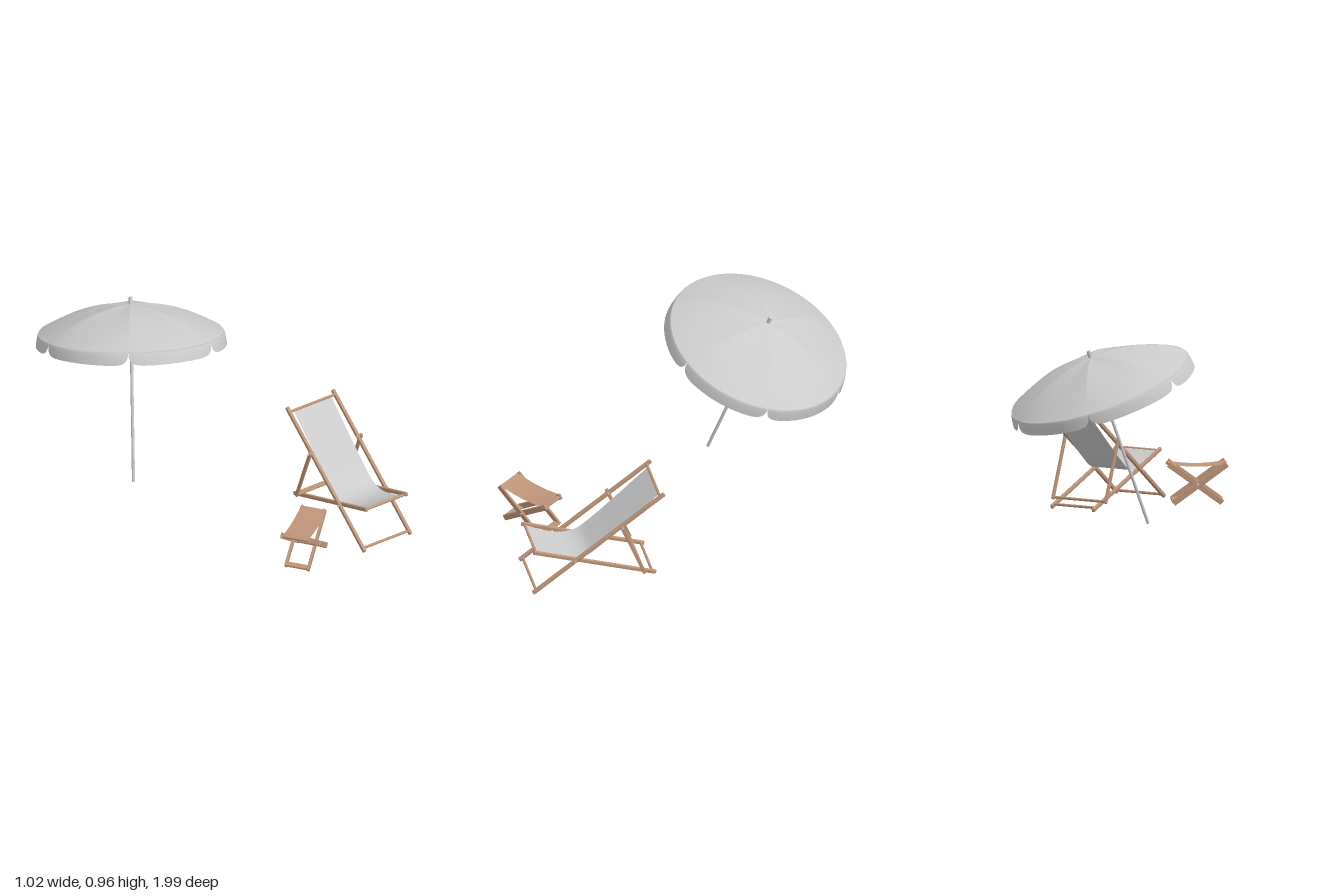
import * as THREE from 'three';
import { RoundedBoxGeometry } from 'three/addons/geometries/RoundedBoxGeometry.js';
import { ParametricGeometry } from 'three/addons/geometries/ParametricGeometry.js';

const UP = new THREE.Vector3(0, 1, 0);
const wood = new THREE.MeshStandardMaterial({ color: 0xbf9578 });
const brownCloth = new THREE.MeshStandardMaterial({ color: 0xbf9578, side: THREE.DoubleSide });
const grey = new THREE.MeshStandardMaterial({ color: 0xcccccc });
const greyCloth = new THREE.MeshStandardMaterial({ color: 0xcccccc, side: THREE.DoubleSide });

function add(parent, name, geometry, material) {
  const mesh = new THREE.Mesh(geometry, material);
  mesh.name = name;
  parent.add(mesh);
  return mesh;
}

// Place a y-aligned mesh between two points
function span(mesh, a, b) {
  mesh.position.addVectors(a, b).multiplyScalar(0.5);
  mesh.quaternion.setFromUnitVectors(UP, b.clone().sub(a).normalize());
}

function beam(parent, name, a, b, width, depth) {
  const p = new THREE.Vector3(...a), q = new THREE.Vector3(...b);
  const r = Math.min(width, depth) * 0.25;
  span(add(parent, name, new RoundedBoxGeometry(width, p.distanceTo(q), depth, 2, r), wood), p, q);
}

function rod(parent, name, a, b, radius, material) {
  const p = new THREE.Vector3(...a), q = new THREE.Vector3(...b);
  span(add(parent, name, new THREE.CylinderGeometry(radius, radius, p.distanceTo(q), 12), material), p, q);
}

function parasol() {
  const g = new THREE.Group();
  g.name = 'parasol';
  const PANELS = 6, STEP = Math.PI * 2 / PANELS, START = 0.41, R = 0.465;
  const dome = r => 0.92 - 0.145 * Math.pow(r / R, 1.9);
  const at = (a, r, h) => [r * Math.cos(a), h, r * Math.sin(a)];

  rod(g, 'pole', [0, 0, 0], [0, 0.93, 0], 0.008, grey);
  rod(g, 'poleTip', [0, 0.91, 0], [0, 0.955, 0], 0.01, grey);
  rod(g, 'slidingCollar', [0, 0.69, 0], [0, 0.715, 0], 0.012, grey);

  for (let i = 0; i < PANELS; i++) {
    const a0 = START + i * STEP;
    // s runs across a panel, packed tighter near the seams
    const across = s => (1 - Math.cos(Math.PI * s)) / 2;
    add(g, 'canopyPanel', new ParametricGeometry((s, t, v) => {
      const p = across(s), r = 0.006 + t * (R - 0.006);
      const sag = 0.009 * Math.sin(Math.PI * p) * Math.sin(Math.PI * t);
      v.set(...at(a0 + p * STEP, r, dome(r) - sag));
    }, 20, 16), greyCloth);
    // Hanging flap with rounded lower corners
    add(g, 'valance', new ParametricGeometry((s, t, v) => {
      const p = across(s), e = Math.abs(2 * p - 1);
      const drop = t * 0.067 * Math.pow(Math.max(0, 1 - Math.pow(e, 10)), 0.45);
      v.set(...at(a0 + p * STEP, R + 0.016 * Math.sqrt(drop / 0.067), dome(R) - drop));
    }, 24, 8), greyCloth);
    // Rib under the seam and its strut
    const pts = [0.01, 0.12, 0.24, 0.36, R - 0.003].map(r => new THREE.Vector3(...at(a0, r, dome(r) - 0.005)));
    add(g, 'rib', new THREE.TubeGeometry(new THREE.CatmullRomCurve3(pts), 16, 0.0025, 6), grey);
    rod(g, 'strut', at(a0, 0.01, 0.705), at(a0, 0.24, dome(0.24) - 0.006), 0.0025, grey);
  }
  g.position.set(-0.24, 0.05, -0.355);
  g.quaternion.setFromUnitVectors(UP, new THREE.Vector3(0.264, 0.937, -0.227).normalize());
  return g;
}

function deckChair() {
  const g = new THREE.Group();
  g.name = 'deckChair';
  for (const s of [-1, 1]) {
    beam(g, 'backRail', [s * 0.141, 0.506, -0.34], [s * 0.141, 0.004, 0.342], 0.017, 0.02);
    beam(g, 'seatRail', [s * 0.123, 0.246, 0.335], [s * 0.123, 0.006, -0.3], 0.015, 0.02);
    beam(g, 'supportLeg', [s * 0.157, 0.355, -0.113], [s * 0.157, 0.036, -0.235], 0.013, 0.018);
    rod(g, 'pivotBolt', [s * 0.112, 0.165, 0.123], [s * 0.154, 0.165, 0.123], 0.005, grey);
    rod(g, 'supportBolt', [s * 0.13, 0.347, -0.118], [s * 0.168, 0.347, -0.118], 0.005, grey);
  }
  const bars = [
    ['topBar', 0.14, 0.49, -0.318], ['frontFootBar', 0.14, 0.016, 0.325],
    ['seatFrontBar', 0.122, 0.238, 0.32], ['seatBackBar', 0.122, 0.018, -0.28],
    ['supportBar', 0.157, 0.045, -0.23],
  ];
  for (const [name, w, y, z] of bars) rod(g, name, [-w, y, z], [w, y, z], 0.007, wood);

  // Fabric sling hanging between the top and seat bars
  const curve = new THREE.CatmullRomCurve3([
    [0.494, -0.322], [0.345, -0.158], [0.225, -0.02], [0.175, 0.05], [0.163, 0.12], [0.185, 0.21], [0.244, 0.325],
  ].map(([y, z]) => new THREE.Vector3(0, y, z)));
  add(g, 'sling', new ParametricGeometry((u, t, v) => {
    curve.getPoint(t, v);
    v.x = (u - 0.5) * 0.23;
  }, 4, 48), greyCloth);

  g.position.set(0.265, 0, 0.625);
  g.rotation.y = -0.293;
  return g;
}

function stool() {
  const g = new THREE.Group();
  g.name = 'foldingStool';
  // Two crossing frames, one nested inside the other
  for (const [s, w] of [[1, 0.073], [-1, 0.059]]) {
    for (const z of [-w, w]) beam(g, 'crossLeg', [s * -0.147, 0.213, z], [s * 0.124, 0.016, z], 0.03, 0.012);
    beam(g, 'footBar', [s * 0.113, 0.024, -w], [s * 0.113, 0.024, w], 0.034, 0.012);
    rod(g, 'topBar', [s * -0.139, 0.205, -w], [s * -0.139, 0.205, w], 0.008, wood);
  }
  for (const z of [-1, 1]) rod(g, 'pivotBolt', [0, 0.112, z * 0.052], [0, 0.112, z * 0.083], 0.006, grey);
  // Gently sagging seat
  add(g, 'seatCloth', new ParametricGeometry((u, t, v) => {
    const x = 2 * u - 1;
    v.set(x * 0.145, 0.2 + 0.014 * x * x, (t - 0.5) * 0.136);
  }, 20, 4), brownCloth);
  g.position.set(-0.197, 0, 0.707);
  g.rotation.y = 0.34;
  return g;
}

export function createModel() {
  const model = new THREE.Group();
  model.name = 'beachSet';
  model.add(parasol(), deckChair(), stool());
  return model;
}
